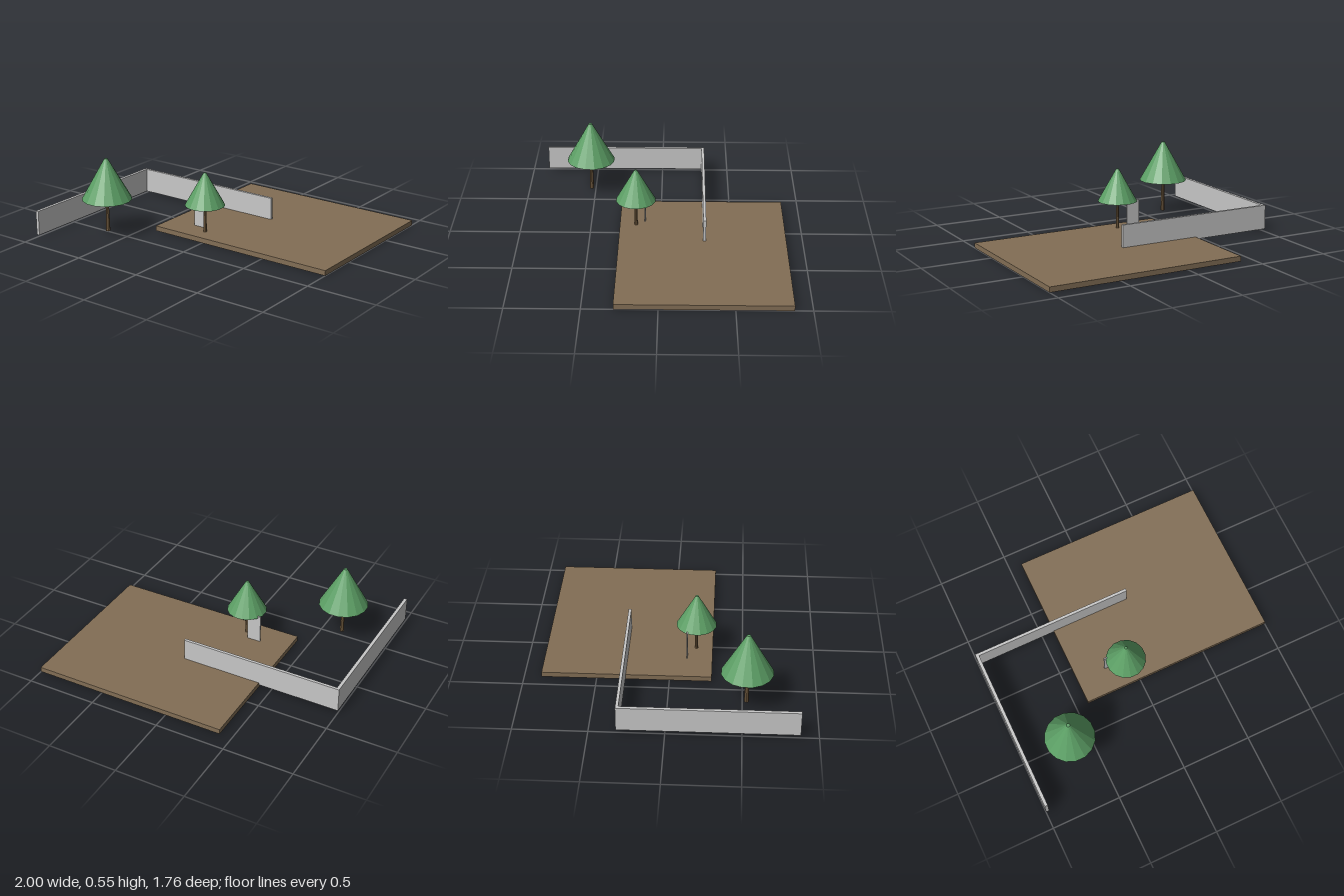
import * as THREE from 'three';

const flat = (color, name) => {
  const m = new THREE.MeshStandardMaterial({ color });
  m.name = name;
  return m;
};

export function createModel() {
  const group = new THREE.Group();
  group.name = 'garden';
  const soil = flat(0x826e55, 'soil brown');
  const stone = flat(0xc8c8c8, 'wall grey');
  const bark = flat(0x7a6244, 'bark brown');
  const leaf = flat(0x5c9f65, 'leaf green');
  bark.flatShading = true;
  leaf.flatShading = true;

  // Box given by its lower and upper corners
  const box = (name, material, [x0, y0, z0], [x1, y1, z1]) => {
    const mesh = new THREE.Mesh(new THREE.BoxGeometry(x1 - x0, y1 - y0, z1 - z0), material);
    mesh.position.set((x0 + x1) / 2, (y0 + y1) / 2, (z0 + z1) / 2);
    mesh.name = name;
    group.add(mesh);
  };

  // Ground slab, L-shaped wall and small upright panel
  box('groundSlab', soil, [-0.41, 0, -0.88], [1, 0.036, 0.29]);
  box('backWall', stone, [-1, 0.02, -0.32], [0.172, 0.195, -0.3]);
  box('sideWall', stone, [-1, 0.02, -0.3], [-0.977, 0.195, 0.88]);
  box('panel', stone, [-0.2, 0.03, 0.108], [-0.1, 0.245, 0.117]);

  // Tree: tapered trunk under a faceted cone with a blunt tip
  const tree = (name, x, z, base, canopyBase, top, radius) => {
    const t = new THREE.Group();
    t.name = name;
    t.position.set(x, 0, z);
    const trunkTop = canopyBase + 0.03;
    const trunk = new THREE.Mesh(
      new THREE.CylinderGeometry(radius * 0.055, radius * 0.09, trunkTop - base, 8), bark);
    trunk.position.y = (trunkTop + base) / 2;
    trunk.name = 'trunk';
    const canopy = new THREE.Mesh(
      new THREE.CylinderGeometry(radius * 0.07, radius, top - canopyBase, 16), leaf);
    canopy.position.y = (top + canopyBase) / 2;
    canopy.rotation.y = Math.PI / 16;
    canopy.name = 'canopy';
    t.add(trunk, canopy);
    group.add(t);
  };
  tree('largeTree', -0.65, 0.528, 0.02, 0.258, 0.55, 0.176);
  tree('smallTree', -0.06, 0.175, 0.02, 0.234, 0.468, 0.141);

  return group;
}
